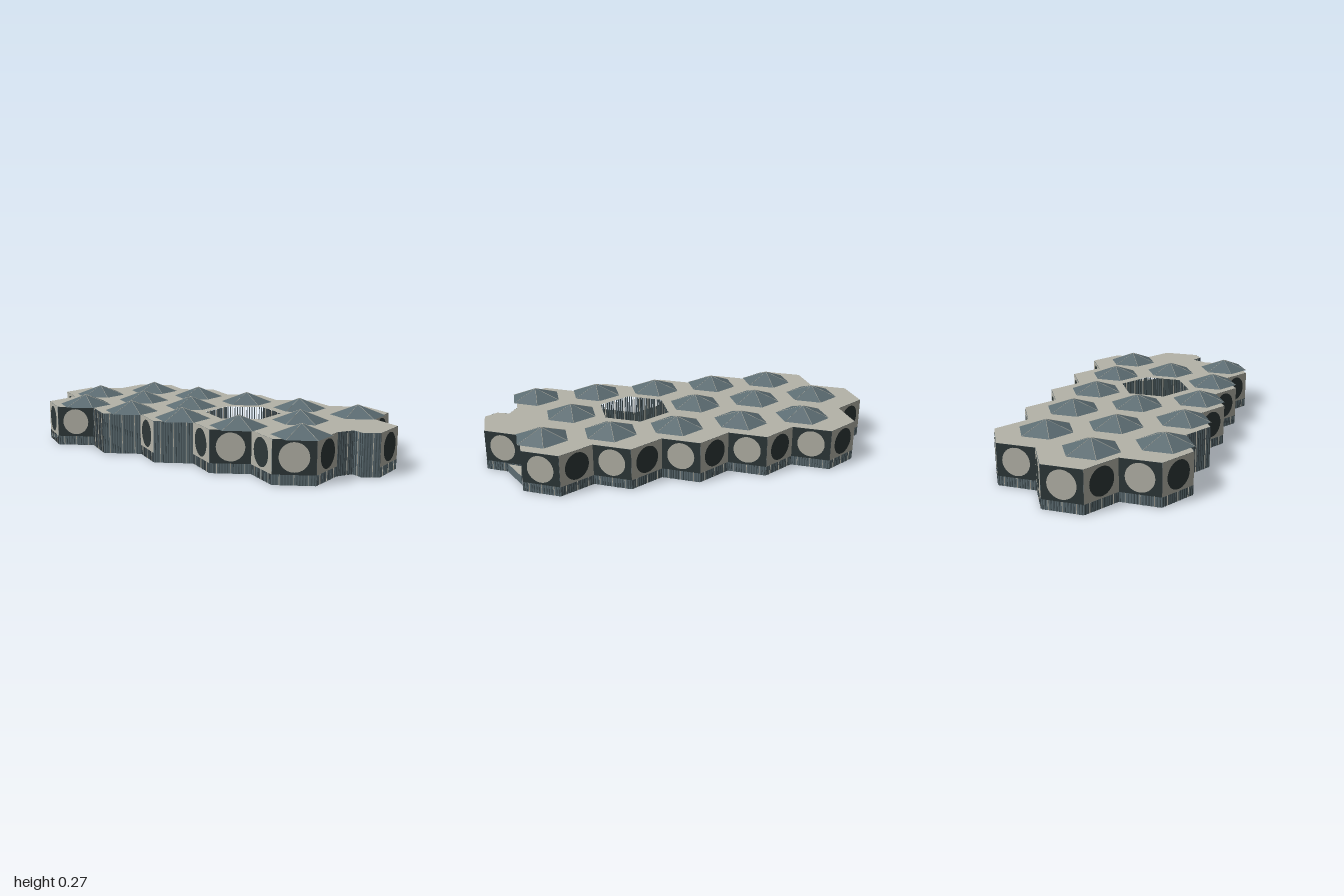
import * as THREE from 'three';
import { mergeGeometries } from 'three/addons/utils/BufferGeometryUtils.js';

const mat = (name, color, flatShading = false) => {
  const m = new THREE.MeshStandardMaterial({ color, flatShading });
  m.name = name;
  return m;
};

const TILT = Math.PI / 30, STEP = 0.348, R = STEP / Math.sqrt(3);
const BASE = 0.05, TOP = 0.215;
const A = [STEP * Math.cos(TILT), STEP * Math.sin(TILT)];
const B = [STEP * Math.cos(TILT + Math.PI / 3), STEP * Math.sin(TILT + Math.PI / 3)];

const cellCentre = (i, j) => [0.058 + i * A[0] + j * B[0], 0.16 + i * A[1] + j * B[1]];
const corner = ([x, z], r, k) => {
  const t = TILT + (k - 0.5) * Math.PI / 3;
  return [x + r * Math.cos(t), z + r * Math.sin(t)];
};

export function createModel() {
  const model = new THREE.Group();
  const stone = mat('pale stone', 0xb4b3a8);
  const dark = mat('dark slate', 0x2d3738);
  const slate = mat('blue slate', 0x5c6c72, true);
  const rib = mat('rib slate', 0x48565b);

  const add = (name, geo, material) => {
    const mesh = new THREE.Mesh(geo, material);
    mesh.name = name;
    model.add(mesh);
    return mesh;
  };

  // Honeycomb cells, row by row from back to front
  const cells = [];
  [[0, 1], [-1, 1], [-1, 1], [-1, 1], [-1, 1], [-1, 0]].forEach(([from, to], row) => {
    for (let i = from; i <= to; i++) cells.push([i, row - 3]);
  });
  const has = (i, j) => cells.some(c => c[0] === i && c[1] === j);
  const next = [[1, 0], [0, 1], [-1, 1], [-1, 0], [0, -1], [1, -1]];

  // Outer edges: those with no neighbouring cell
  const edges = [];
  for (const [i, j] of cells) next.forEach(([di, dj], k) => {
    if (has(i + di, j + dj)) return;
    const c = cellCentre(i, j);
    const notch = i === 0 && j === 2 && k === 2;
    const ribbed = notch || (i === -1 && ((j === -1 && (k === 2 || k === 3)) || (j === 0 && k === 2)));
    edges.push({ p: corner(c, R, k), q: corner(c, R, k + 1), k, notch, ribbed });
  });

  // Chain the edges into one outline, stepping in at the notch
  const near = (a, b) => Math.hypot(a[0] - b[0], a[1] - b[1]) < 0.01;
  const outline = [];
  let edge = edges[0];
  for (let n = 0; n < edges.length; n++) {
    outline.push(edge.p);
    if (edge.notch) outline.push([0.25, 0.955], [0.25, 0.885]);
    edge = edges.find(e => near(e.p, edge.q));
  }
  const wellCentre = [0.041, 0.238];
  const well = [0, 1, 2, 3, 4, 5].map(k => corner(wellCentre, R, k));
  const toV2 = pts => pts.map(([x, z]) => new THREE.Vector2(x, -z));

  const slab = (y0, y1) => {
    const shape = new THREE.Shape(toV2(outline));
    shape.holes.push(new THREE.Path(toV2(well)));
    return new THREE.ExtrudeGeometry(shape, { depth: y1 - y0, bevelEnabled: false })
      .rotateX(-Math.PI / 2).translate(0, y0, 0);
  };
  add('base', slab(0, BASE), [dark, slate]);
  add('body', slab(BASE, TOP), [stone, slate]);

  // Fine vertical ribs along a wall
  const ribSets = [[], []];
  const addRibs = (p, q, y0, y1) => {
    const dx = q[0] - p[0], dz = q[1] - p[1];
    const count = Math.max(2, Math.round(Math.hypot(dx, dz) / 0.0135));
    for (let n = 0; n < count; n++) {
      const t = (n + 0.5) / count;
      ribSets[n % 5 === 2 ? 1 : 0].push(new THREE.BoxGeometry(n % 5 === 2 ? 0.003 : 0.005, y1 - y0, 0.006)
        .rotateY(-Math.atan2(dz, dx))
        .translate(p[0] + dx * t, (y0 + y1) / 2, p[1] + dz * t));
    }
  };
  outline.forEach((p, n) => addRibs(p, outline[(n + 1) % outline.length], 0.001, BASE));
  well.forEach((p, n) => addRibs(p, well[(n + 1) % 6], 0.001, TOP - 0.001));

  // Square wall panels with round discs, alternating in colour
  for (const { p, q, k, notch, ribbed } of edges) {
    if (ribbed) {
      if (notch) {
        const path = [p, [0.25, 0.955], [0.25, 0.885], q];
        for (let n = 0; n < 3; n++) addRibs(path[n], path[n + 1], BASE, TOP - 0.001);
      } else addRibs(p, q, BASE, TOP - 0.001);
      continue;
    }
    const t = TILT + k * Math.PI / 3;
    const place = (geo, out) => geo.rotateY(Math.PI / 2 - t).translate(
      (p[0] + q[0]) / 2 + out * Math.cos(t), (BASE + TOP) / 2, (p[1] + q[1]) / 2 + out * Math.sin(t));
    add('wallPanel', place(new THREE.PlaneGeometry(R, TOP - BASE), 0.002), k % 2 ? stone : dark);
    add('wallDisc', place(new THREE.CircleGeometry(0.071, 32), 0.004), k % 2 ? dark : stone);
  }
  add('wallRibs', mergeGeometries(ribSets[0]), rib);
  add('paleRibs', mergeGeometries(ribSets[1]), stone);

  // Low six-sided roofs with pale ridge lines
  const roofR = 0.144, roofH = 0.055, ridges = [];
  for (const [i, j] of cells) {
    if ((i === 0 && j === 0) || (i === 0 && j === 2)) continue;
    const [cx, cz] = cellCentre(i, j);
    const x = cx - 0.017, z = cz + 0.078;
    const roof = add('roof', new THREE.ConeGeometry(roofR, roofH, 6), slate);
    roof.position.set(x, TOP + roofH / 2, z);
    roof.rotation.y = -TILT;
    const apex = new THREE.Vector3(x, TOP + roofH, z);
    for (let k = 0; k < 6; k++) {
      const [ex, ez] = corner([x, z], roofR, k);
      const line = new THREE.LineCurve3(apex, new THREE.Vector3(ex, TOP, ez));
      ridges.push(new THREE.TubeGeometry(line, 1, 0.0013, 4));
    }
  }
  add('roofRidges', mergeGeometries(ridges), stone);

  // Small low wedge in the front corner
  const wedge = new THREE.Shape(toV2([[0.54, 0.71], [0.65, 0.665], [0.53, 0.785]]));
  add('cornerWedge', new THREE.ExtrudeGeometry(wedge, { depth: BASE - 0.002, bevelEnabled: false })
    .rotateX(-Math.PI / 2).translate(0, 0.001, 0), [stone, slate]);

  return model;
}
